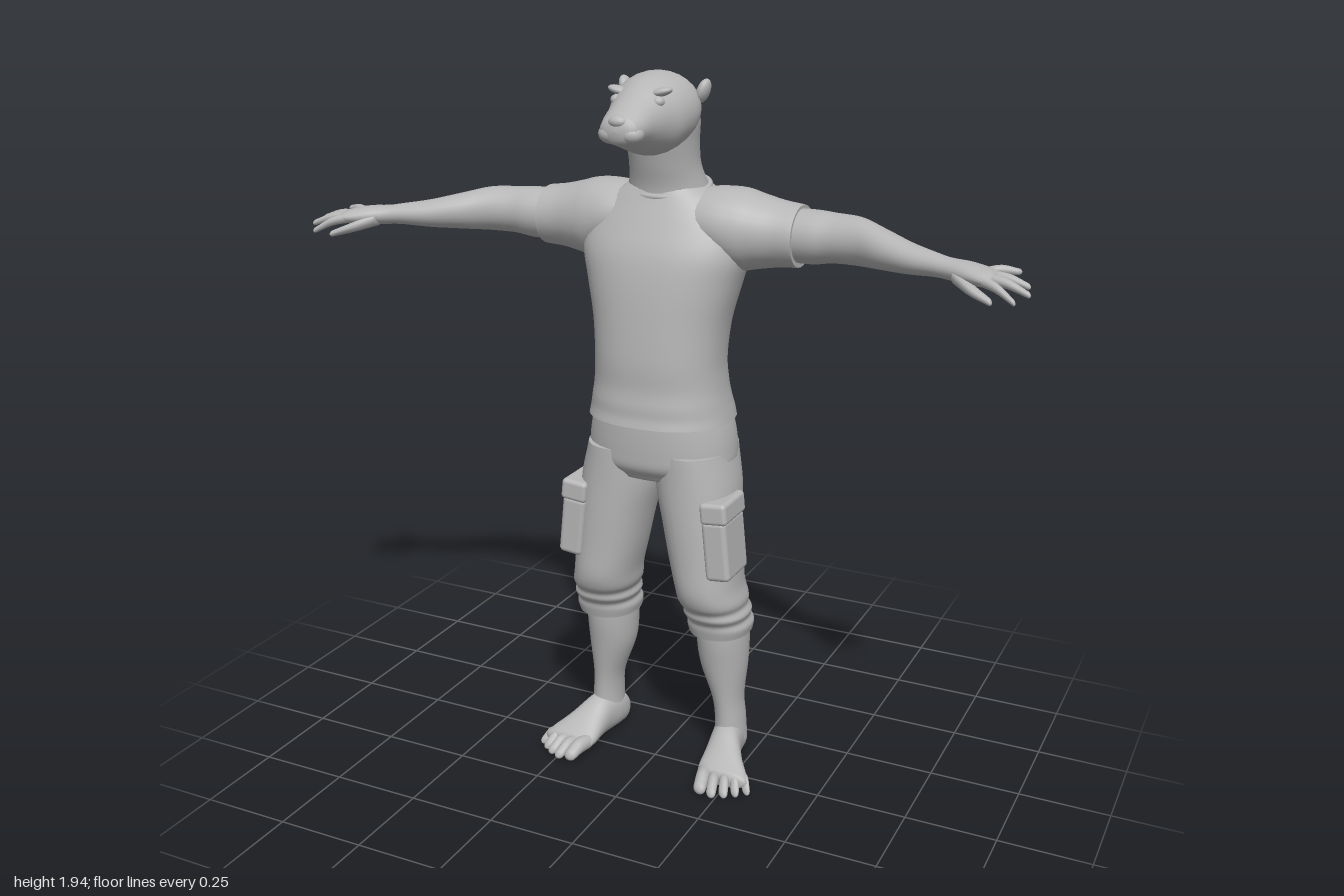
import * as THREE from 'three';
import { RoundedBoxGeometry } from 'three/addons/geometries/RoundedBoxGeometry.js';

const grey = new THREE.MeshStandardMaterial({ color: 0xb6b6b6 });
const V = (x, y, z) => new THREE.Vector3(x, y, z);
// ring directions for lofts running along each axis
const FRAMES = { x: [V(0, 0, 1), V(0, 1, 0)], y: [V(1, 0, 0), V(0, 0, 1)], z: [V(1, 0, 0), V(0, 1, 0)] };

// Smooth skin through sections [x, y, z, halfWidth, halfDepth].
// power > 2 squares the rings; dome rounds the [start, end], 0 gives a flat sharp cap.
function loft(axis, sections, { side = 1, dome = [0, 0], power = 2, steps = 5, sides = 28 } = {}) {
  const [U, W] = FRAMES[axis];
  const centres = new THREE.CatmullRomCurve3(sections.map(s => V(s[0] * side, s[1], s[2])), false, 'catmullrom');
  const radii = new THREE.CatmullRomCurve3(sections.map(s => V(s[3], s[4], 0)), false, 'catmullrom');
  const count = (sections.length - 1) * steps;
  const rings = [];
  for (let i = 0; i <= count; i++) {
    const r = radii.getPoint(i / count);
    rings.push({ c: centres.getPoint(i / count), a: r.x, b: r.y });
  }
  const cap = (end, inner, height) => {
    const dir = end.c.clone().sub(inner.c).normalize();
    const out = [];
    for (let k = 1; k <= 5; k++) {
      const t = k / 5 * Math.PI / 2, f = Math.max(Math.cos(t), 0.01);
      out.push({ c: end.c.clone().addScaledVector(dir, height * Math.sin(t)), a: end.a * f, b: end.b * f });
    }
    return out;
  };
  const flat = end => [{ ...end }, { c: end.c, a: end.a * 0.01, b: end.b * 0.01 }];
  const first = rings[0], last = rings[count];
  const head = dome[0] ? cap(first, rings[1], dome[0]) : flat(first);
  const tail = dome[1] ? cap(last, rings[count - 1], dome[1]) : flat(last);
  const all = [...head.reverse(), ...rings, ...tail];

  const pos = [], index = [];
  const shape = v => Math.sign(v) * Math.pow(Math.abs(v), 2 / power);
  for (const r of all) {
    for (let j = 0; j < sides; j++) {
      const t = j / sides * Math.PI * 2;
      const p = r.c.clone().addScaledVector(U, r.a * shape(Math.cos(t))).addScaledVector(W, r.b * shape(Math.sin(t)));
      pos.push(p.x, p.y, p.z);
    }
  }
  const flip = U.clone().cross(W).dot(last.c.clone().sub(first.c)) < 0;
  for (let i = 0; i < all.length - 1; i++) {
    if (all[i].c.equals(all[i + 1].c) && all[i].a === all[i + 1].a) continue; // sharp hem
    for (let j = 0; j < sides; j++) {
      const k = (j + 1) % sides;
      const a = i * sides + j, b = i * sides + k, c = a + sides, d = b + sides;
      if (flip) index.push(a, c, b, b, c, d);
      else index.push(a, b, c, b, d, c);
    }
  }
  const g = new THREE.BufferGeometry();
  g.setAttribute('position', new THREE.Float32BufferAttribute(pos, 3));
  g.setIndex(index);
  g.computeVertexNormals();
  return g;
}

export function createModel() {
  const model = new THREE.Group();
  const add = (name, geometry) => {
    const mesh = new THREE.Mesh(geometry, grey);
    mesh.name = name;
    model.add(mesh);
    return mesh;
  };
  const blob = (name, x, y, z, rx, ry, rz, turn = 0) => {
    const mesh = add(name, new THREE.SphereGeometry(1, 20, 14));
    mesh.position.set(x, y, z);
    mesh.scale.set(rx, ry, rz);
    mesh.rotation.z = turn;
  };

  // neck and head
  add('neck', loft('y', [
    [0, 1.57, -0.09, 0.125, 0.095], [0, 1.64, -0.083, 0.108, 0.09], [0, 1.70, -0.06, 0.096, 0.082],
    [0, 1.76, -0.045, 0.098, 0.083], [0, 1.82, -0.032, 0.105, 0.086], [0, 1.87, -0.02, 0.098, 0.08],
  ], { dome: [0, 0.05] }));
  add('head', loft('z', [
    [0, 1.85, -0.085, 0.07, 0.058], [0, 1.848, -0.06, 0.1, 0.08], [0, 1.84, -0.02, 0.113, 0.098],
    [0, 1.832, 0.04, 0.106, 0.1], [0, 1.828, 0.09, 0.085, 0.086], [0, 1.822, 0.13, 0.071, 0.068],
    [0, 1.817, 0.17, 0.062, 0.05], [0, 1.813, 0.20, 0.052, 0.037],
  ], { dome: [0.025, 0.02] }));
  blob('nose', 0, 1.834, 0.203, 0.026, 0.016, 0.02);

  // shirt body and collar
  add('shirt', loft('y', [
    [0, 1.03, -0.05, 0.2, 0.168], [0, 1.055, -0.05, 0.195, 0.163], [0, 1.085, -0.045, 0.189, 0.157],
    [0, 1.13, -0.042, 0.182, 0.149], [0, 1.20, -0.038, 0.178, 0.146], [0, 1.30, -0.046, 0.187, 0.147],
    [0, 1.40, -0.06, 0.211, 0.15], [0, 1.48, -0.07, 0.23, 0.143], [0, 1.55, -0.08, 0.215, 0.123],
    [0, 1.61, -0.088, 0.165, 0.103], [0, 1.645, -0.09, 0.11, 0.09],
  ], { power: 2.3, sides: 40 }));
  const collar = add('collar', new THREE.TorusGeometry(1, 0.07, 10, 40));
  collar.rotation.x = Math.PI / 2 + 0.2;
  collar.scale.set(0.109, 0.093, 0.11);
  collar.position.set(0, 1.64, -0.085);

  // seat of the trousers
  add('trouserSeat', loft('y', [
    [0, 0.88, -0.045, 0.17, 0.12], [0, 0.91, -0.05, 0.205, 0.145], [0, 0.95, -0.055, 0.207, 0.155],
    [0, 1.0, -0.055, 0.2, 0.157], [0, 1.05, -0.05, 0.187, 0.152],
  ], { dome: [0.025, 0], power: 2.2, sides: 40 }));

  for (const side of [1, -1]) {
    const s = side > 0 ? 'left' : 'right';
    // face details
    blob(s + 'Eye', side * 0.056, 1.873, 0.1, 0.017, 0.014, 0.016);
    blob(s + 'Brow', side * 0.058, 1.895, 0.085, 0.03, 0.011, 0.02, side * 0.25);
    blob(s + 'Cheek', side * 0.027, 1.803, 0.188, 0.033, 0.025, 0.03);
    blob(s + 'Ear', side * 0.108, 1.887, -0.055, 0.016, 0.032, 0.025, side * -0.35);

    // sleeve and bare arm
    add(s + 'Sleeve', loft('x', [
      [0.08, 1.555, -0.09, 0.1, 0.085], [0.15, 1.552, -0.092, 0.112, 0.095], [0.21, 1.54, -0.095, 0.11, 0.106],
      [0.26, 1.537, -0.098, 0.1, 0.096], [0.31, 1.535, -0.1, 0.09, 0.086], [0.365, 1.533, -0.101, 0.087, 0.08],
    ], { side }));
    add(s + 'Arm', loft('x', [
      [0.30, 1.535, -0.1, 0.07, 0.068], [0.40, 1.536, -0.092, 0.071, 0.069], [0.46, 1.539, -0.086, 0.065, 0.063],
      [0.53, 1.54, -0.068, 0.062, 0.06], [0.60, 1.534, -0.033, 0.06, 0.05], [0.68, 1.527, 0.008, 0.05, 0.038],
      [0.75, 1.525, 0.04, 0.037, 0.029], [0.79, 1.522, 0.055, 0.036, 0.026], [0.84, 1.519, 0.068, 0.049, 0.026],
      [0.88, 1.516, 0.078, 0.056, 0.022], [0.90, 1.515, 0.083, 0.053, 0.017],
    ], { side, dome: [0, 0.012] }));
    // fingers: base x, z and tip x, y, z
    [[0.88, 0.118, 0.965, 1.482, 0.155], [0.89, 0.096, 0.99, 1.495, 0.122],
      [0.89, 0.069, 0.98, 1.505, 0.083], [0.87, 0.04, 0.943, 1.522, 0.018]].forEach(([bx, bz, tx, ty, tz], i) => {
      add(s + 'Finger' + (i + 1), loft('x', [
        [bx, 1.516, bz, 0.015, 0.014], [(bx + tx) / 2, (1.528 + ty) / 2, (bz + tz) / 2, 0.013, 0.012],
        [tx, ty, tz, 0.008, 0.008],
      ], { side, dome: [0.008, 0.009], sides: 12 }));
    });
    add(s + 'Thumb', loft('x', [
      [0.81, 1.512, 0.08, 0.025, 0.018], [0.86, 1.493, 0.122, 0.022, 0.014], [0.91, 1.476, 0.15, 0.012, 0.009],
    ], { side, dome: [0.01, 0.01], sides: 12 }));

    // trouser leg with gathered cuff
    add(s + 'TrouserLeg', loft('y', [
      [0.102, 0.95, -0.055, 0.1, 0.145], [0.113, 0.85, -0.045, 0.111, 0.134], [0.128, 0.75, -0.031, 0.103, 0.121],
      [0.143, 0.65, -0.027, 0.097, 0.117], [0.155, 0.57, -0.027, 0.09, 0.117], [0.163, 0.525, -0.035, 0.092, 0.113],
      [0.167, 0.50, -0.045, 0.085, 0.104], [0.17, 0.48, -0.05, 0.091, 0.105], [0.172, 0.46, -0.058, 0.084, 0.097],
      [0.173, 0.44, -0.065, 0.09, 0.1], [0.173, 0.415, -0.069, 0.085, 0.097],
    ], { side, power: 2.2 }));
    // cargo pocket with flap
    const pocket = add(s + 'Pocket', new RoundedBoxGeometry(0.07, 0.17, 0.138, 4, 0.014));
    pocket.position.set(side * 0.216, 0.705, 0.018);
    const flap = add(s + 'PocketFlap', new RoundedBoxGeometry(0.076, 0.06, 0.142, 4, 0.012));
    flap.position.set(side * 0.208, 0.81, 0.018);
    for (const part of [pocket, flap]) part.rotation.z = side * 0.1;

    // bare shin, foot and toes
    add(s + 'Shin', loft('y', [
      [0.173, 0.46, -0.078, 0.076, 0.08], [0.174, 0.38, -0.083, 0.074, 0.081], [0.177, 0.30, -0.087, 0.067, 0.073],
      [0.19, 0.20, -0.088, 0.044, 0.058], [0.196, 0.13, -0.093, 0.042, 0.058], [0.197, 0.06, -0.095, 0.045, 0.062],
    ], { side }));
    add(s + 'Foot', loft('z', [
      [0.19, 0.045, -0.155, 0.032, 0.038], [0.191, 0.054, -0.13, 0.043, 0.053], [0.195, 0.062, -0.09, 0.046, 0.061],
      [0.205, 0.061, -0.04, 0.047, 0.06], [0.22, 0.047, 0.01, 0.058, 0.046], [0.235, 0.034, 0.05, 0.072, 0.033],
      [0.243, 0.027, 0.075, 0.075, 0.025],
    ], { side, dome: [0.018, 0.015], power: 2.2 }));
    // toes: base x, z, tip x, z, radius
    [[0.19, 0.07, 0.203, 0.137, 0.022], [0.222, 0.075, 0.238, 0.138, 0.017], [0.25, 0.07, 0.268, 0.123, 0.016],
      [0.275, 0.06, 0.294, 0.103, 0.015], [0.295, 0.045, 0.318, 0.08, 0.014]].forEach(([bx, bz, tx, tz, r], i) => {
      add(s + 'Toe' + (i + 1), loft('z', [
        [bx, 0.028, bz, r, r], [(bx + tx) / 2, 0.028, (bz + tz) / 2, r * 0.92, r], [tx, r * 0.8, tz, r * 0.85, r * 0.75],
      ], { side, dome: [0.01, 0.015], sides: 14 }));
    });
  }
  return model;
}
